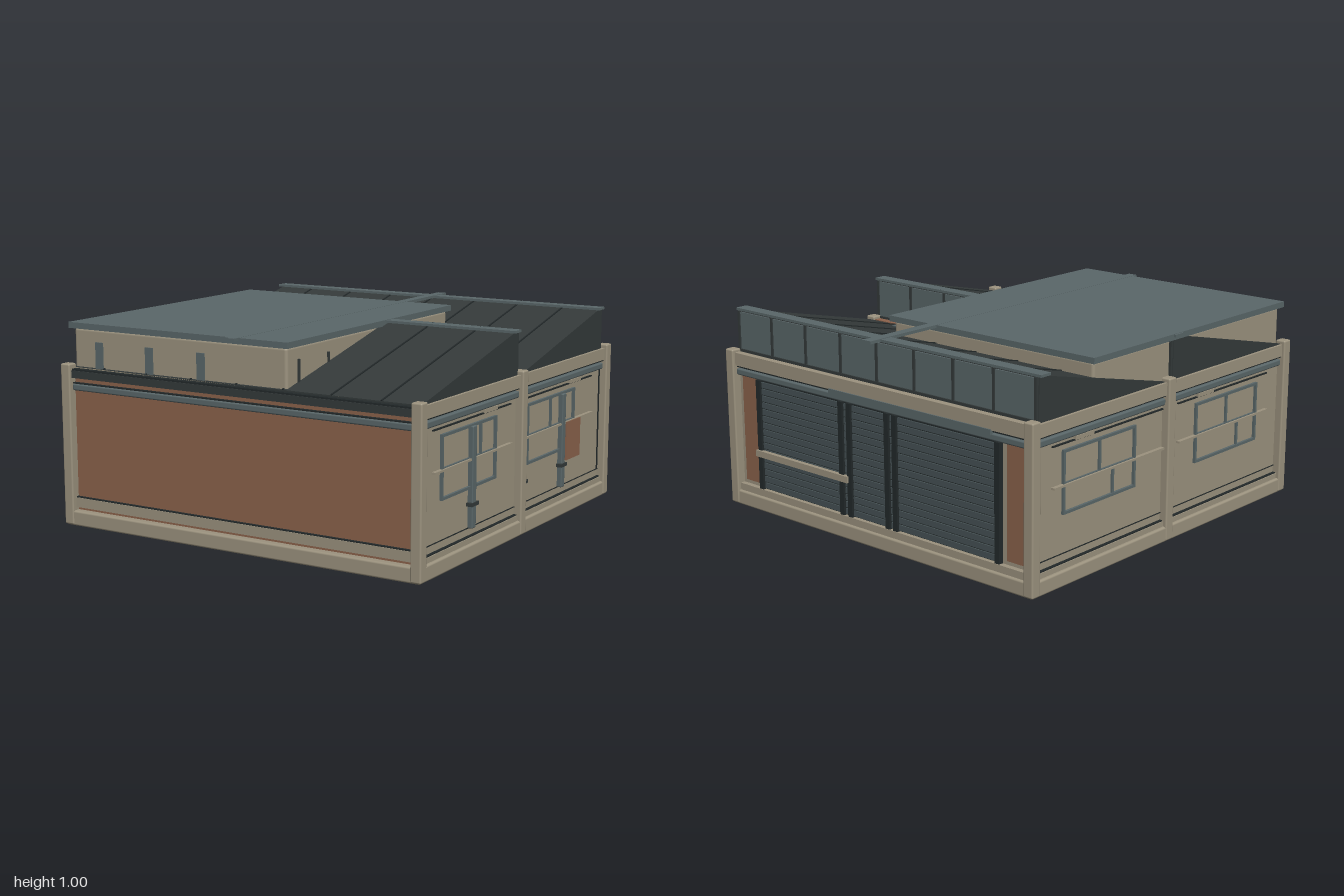
import * as THREE from 'three';
import { RoundedBoxGeometry } from 'three/addons/geometries/RoundedBoxGeometry.js';

const material = (name, color) => {
  const m = new THREE.MeshStandardMaterial({ color });
  m.name = name;
  return m;
};

export function createModel() {
  const model = new THREE.Group();
  model.name = 'warehouse';
  const tan = material('tanConcrete', 0x9c937f);
  const brick = material('brick', 0x8c634c);
  const steel = material('steel', 0x5a6769);
  const dark = material('darkRoof', 0x343a3a);
  const black = material('blackTrim', 0x23292a);
  const shutter = material('shutterSteel', 0x465255);

  const add = (name, geometry, mat, parent = model) => {
    const mesh = new THREE.Mesh(geometry, mat);
    mesh.name = name;
    parent.add(mesh);
    return mesh;
  };
  // box given by its limits, optionally with rounded edges
  const box = (name, mat, x0, x1, y0, y1, z0, z1, parent, r = 0) => {
    const s = [x1 - x0, y1 - y0, z1 - z0];
    const g = r ? new RoundedBoxGeometry(...s, 2, r) : new THREE.BoxGeometry(...s);
    const mesh = add(name, g, mat, parent);
    mesh.position.set((x0 + x1) / 2, (y0 + y1) / 2, (z0 + z1) / 2);
    return mesh;
  };

  // base, hall body and posts
  box('baseSlab', tan, -0.995, 0.995, 0, 0.075, -0.995, 0.995, model, 0.01);
  box('hallWalls', tan, -0.96, 0.96, 0.07, 0.78, -0.955, 0.95);
  for (const x of [-0.9725, 0.9725]) {
    for (const z of [-0.9725, 0, 0.9725]) {
      box('post', tan, x - 0.0275, x + 0.0275, 0.005, 0.8, z - 0.0275, z + 0.0275, model, 0.008);
    }
  }

  // front wall
  box('frontBrickWall', brick, -0.945, 0.945, 0.075, 0.74, 0.95, 0.957);
  box('frontPlinth', tan, -0.945, 0.945, 0.09, 0.138, 0.95, 0.975);
  box('frontPlinthJoint', black, -0.945, 0.945, 0.138, 0.143, 0.95, 0.972);
  box('frontRail', steel, -0.945, 0.945, 0.67, 0.703, 0.95, 0.98, model, 0.008);
  box('frontRailJoint', black, -0.945, 0.945, 0.703, 0.709, 0.95, 0.975);
  box('frontGutter', dark, -0.945, 0.945, 0.732, 0.768, 0.94, 0.985);
  box('frontGutterLip', black, -0.945, 0.945, 0.768, 0.776, 0.93, 0.98);

  // side walls, built for +x and mirrored by sign
  for (const s of [1, -1]) {
    const side = new THREE.Group();
    side.name = s > 0 ? 'leftSide' : 'rightSide';
    model.add(side);
    const plate = (name, mat, z0, z1, y0, y1, out, r = 0) =>
      box(name, mat, s > 0 ? 0.95 : -out, s > 0 ? out : -0.95, y0, y1, z0, z1, side, r);
    for (const [z0, z1] of [[0.0275, 0.945], [-0.945, -0.0275]]) {
      plate('topBeam', tan, z0, z1, 0.72, 0.78, 0.985);
      plate('topBeamJoint', black, z0, z1, 0.713, 0.72, 0.98);
      plate('wallRail', steel, z0, z1, 0.672, 0.705, 0.98, 0.008);
      plate('plinth', tan, z0, z1, 0.075, 0.1, 0.98);
      plate('plinthJoint', black, z0, z1, 0.1, 0.105, 0.975);
      plate('wallJoint', black, z0, z1, 0.139, 0.143, 0.964);
    }
    // framed windows
    const windows = s > 0 ? [[0.24, 0.765, 0.39], [-0.62, -0.085, -0.35]]
      : [[0.23, 0.75, 0.49], [-0.76, -0.24, -0.5]];
    for (const [z0, z1, zm] of windows) {
      const t = 0.013;
      plate('windowFrameBottom', steel, z0, z1, 0.325, 0.325 + t, 0.973);
      plate('windowFrameTop', steel, z0, z1, 0.61, 0.61 + t, 0.973);
      plate('windowTransom', steel, z0, z1, 0.458, 0.458 + t, 0.97);
      plate('windowJamb', steel, z0, z0 + t, 0.325, 0.62, 0.973);
      plate('windowJamb', steel, z1 - t, z1, 0.325, 0.62, 0.973);
      plate('windowMullion', steel, zm - t / 2, zm + t / 2, 0.47, 0.62, 0.97);
      if (s < 0) plate('windowMullion', steel, zm + 0.09, zm + 0.09 + t, 0.33, 0.47, 0.97);
    }
    // conduits
    for (const [z0, z1] of [[0.09, 0.84], [-0.83, -0.03]]) {
      plate('upperConduit', black, z0, z1, 0.649, 0.655, 0.97);
      plate('conduitBox', tan, z0 + 0.15, z0 + 0.28, 0.652, 0.67, 0.975);
      plate('middleConduit', tan, z0, z1, 0.457, 0.467, 0.98);
    }
    plate('cornerSeam', black, -0.94, -0.932, 0.14, 0.67, 0.965);
    // downpipes and service panel
    if (s > 0) {
      for (const [z, w] of [[0.48, 0.038], [-0.472, 0.038], [-0.04, 0.014]]) {
        plate('downpipe', steel, z - w / 2, z + w / 2, 0.14, 0.615, 0.985, 0.005);
        plate('downpipeCollar', dark, z - w / 2 - 0.014, z + w / 2 + 0.014, 0.245, 0.262, 0.99);
      }
      plate('servicePanel', brick, -0.665, -0.505, 0.27, 0.465, 0.985);
    }
  }

  // back wall with roller shutters
  const back = new THREE.Group();
  back.name = 'backWall';
  model.add(back);
  box('backTopBeam', tan, -0.945, 0.945, 0.72, 0.785, -0.985, -0.95, back);
  box('backTopBeamJoint', black, -0.945, 0.945, 0.71, 0.72, -0.975, -0.95, back);
  box('backRail', steel, -0.945, 0.945, 0.672, 0.705, -0.98, -0.95, back, 0.008);
  box('backPlinth', tan, -0.945, 0.945, 0.075, 0.11, -0.982, -0.95, back);
  box('signBoard', steel, -0.75, 0.27, 0.7, 0.725, -0.992, -0.95, back);
  for (const s of [-1, 1]) {
    box('backBrickPanel', brick, s > 0 ? 0.82 : -0.92, s > 0 ? 0.92 : -0.82, 0.13, 0.67, -0.962, -0.95, back);
  }
  box('shutterBacking', black, -0.79, 0.79, 0.11, 0.67, -0.96, -0.95, back);
  for (let i = 0; i < 16; i++) {
    const y = 0.115 + i * 0.0345;
    box('shutterSlat', shutter, -0.78, 0.78, y, y + 0.028, -0.967, -0.95, back);
  }
  for (const x of [-0.775, -0.145, -0.095, 0.155, 0.21, 0.79]) {
    box('shutterGuide', black, x - 0.014, x + 0.014, 0.1, 0.67, -0.979, -0.95, back);
  }
  box('dockBumper', tan, 0.16, 0.81, 0.28, 0.312, -0.99, -0.95, back);

  // sawtooth roof: low at the front, glazed upright at the back
  for (const [zLow, zHigh] of [[0.95, 0.035], [-0.025, -0.925]]) {
    const tooth = new THREE.Group();
    tooth.name = 'sawtooth';
    model.add(tooth);
    const shape = new THREE.Shape();
    shape.moveTo(-zLow, 0.775);
    shape.lineTo(-zHigh, 0.775);
    shape.lineTo(-zHigh, 0.993);
    shape.lineTo(-zLow, 0.782);
    const g = new THREE.ExtrudeGeometry(shape, { depth: 1.94, bevelEnabled: false });
    g.rotateY(Math.PI / 2);
    g.translate(-0.97, 0, 0);
    add('roofSlope', g, dark, tooth);
    // standing seams
    const length = Math.hypot(zLow - zHigh, 0.211);
    for (let i = -3; i <= 3; i++) {
      const seam = add('roofSeam', new THREE.BoxGeometry(0.008, 0.008, length), black, tooth);
      seam.position.set(i * 0.257, 0.888, (zLow + zHigh) / 2);
      seam.rotation.x = Math.atan2(0.211, zLow - zHigh);
    }
    // clerestory glazing
    box('clerestory', steel, -0.965, 0.965, 0.79, 0.98, zHigh - 0.008, zHigh, tooth);
    for (let i = -4; i <= 4; i++) {
      const x = i * 0.24;
      box('clerestoryMullion', dark, x - 0.007, x + 0.007, 0.78, 0.985, zHigh - 0.014, zHigh, tooth);
    }
    box('clerestorySill', dark, -0.965, 0.965, 0.78, 0.795, zHigh - 0.016, zHigh, tooth);
    box('ridgeCap', steel, -0.985, 0.985, 0.985, 0.997, zHigh - 0.005, zHigh + 0.06, tooth);
  }
  box('valleyLining', brick, 0.29, 0.95, 0.778, 0.784, -0.02, 0.03);
  box('roofUnit', steel, 0.43, 0.685, 0.78, 0.815, -0.15, 0.03);
  box('ridgeBeam', steel, -0.025, 0.025, 0.986, 1, -0.995, 0.995);

  // raised block with flat roof
  box('upperBlock', tan, -0.955, 0.275, 0.755, 0.972, -0.54, 0.942, model, 0.015);
  box('flatRoof', steel, -0.975, 0.29, 0.97, 0.999, -0.56, 0.96);
  for (const x of [-0.8, -0.5, -0.2]) {
    box('frontSlitWindow', steel, x - 0.022, x + 0.022, 0.705, 0.91, 0.94, 0.949);
  }
  for (const z of [0.85, 0.6, -0.15, -0.4]) {
    box('sideSlitWindow', dark, 0.27, 0.283, 0.78, 0.91, z - 0.006, z + 0.006);
  }
  return model;
}
